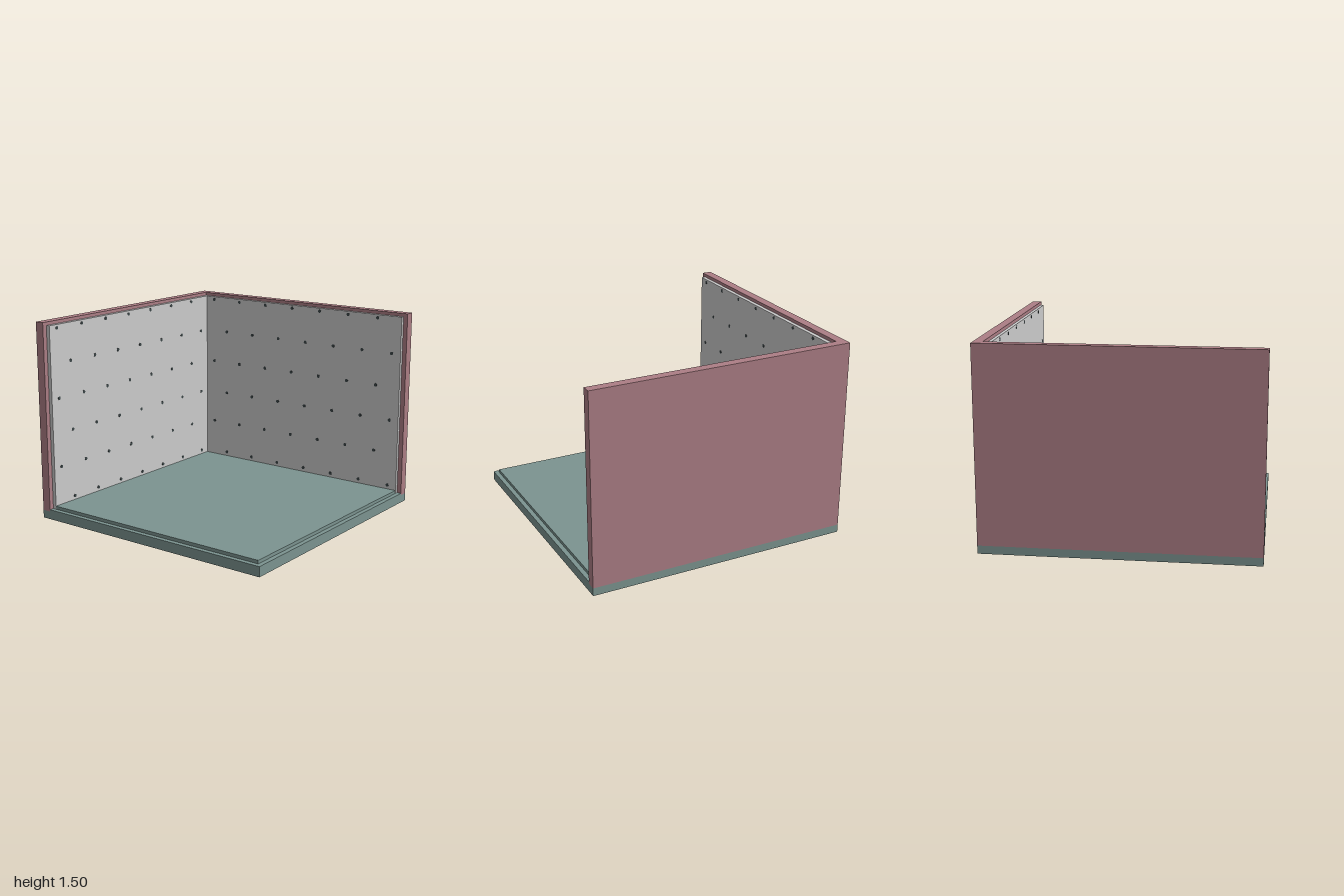
import * as THREE from 'three';

const mat = (color) => new THREE.MeshStandardMaterial({ color });

export function createModel() {
  const model = new THREE.Group();
  model.name = 'cornerRoom';
  const floorMat = mat(0x7c9490);
  const wallMat = mat(0xac7e85);
  const panelMat = mat(0xcccccc);
  const studMat = mat(0x3c4648);

  // Box given by its opposite corners
  const block = (name, material, [x0, y0, z0], [x1, y1, z1]) => {
    const mesh = new THREE.Mesh(new THREE.BoxGeometry(x1 - x0, y1 - y0, z1 - z0), material);
    mesh.position.set((x0 + x1) / 2, (y0 + y1) / 2, (z0 + z1) / 2);
    mesh.name = name;
    model.add(mesh);
  };

  // Stepped floor
  block('floorSlab', floorMat, [-1, 0, -1], [1, 0.06, 1]);
  block('floorStep', floorMat, [-0.93, 0.06, -0.93], [1, 0.075, 1]);
  block('floorPanel', floorMat, [-0.9, 0.075, -0.9], [0.965, 0.1, 0.965]);

  // Two outer walls meeting in the back corner
  block('backWall', wallMat, [-1, 0.06, -1], [1, 1.5, -0.93]);
  block('sideWall', wallMat, [-1, 0.06, -0.93], [-0.93, 1.5, 1]);

  // Inner lining panels, set back from the wall edges
  block('backPanel', panelMat, [-0.9, 0.075, -0.93], [0.965, 1.475, -0.905]);
  block('sidePanel', panelMat, [-0.93, 0.075, -0.93], [-0.9, 1.475, 0.965]);

  // Staggered rows of small round studs on both panels
  const studGeo = new THREE.CylinderGeometry(0.013, 0.013, 0.01, 16);
  const step = 0.263;
  const studs = (name, evenStart, oddStart, place) => {
    const group = new THREE.Group();
    group.name = name;
    for (let row = 0; row < 6; row++) {
      for (let i = 0; i < 7; i++) {
        const stud = new THREE.Mesh(studGeo, studMat);
        stud.name = 'stud';
        place(stud, (row % 2 ? oddStart : evenStart) + i * step, 0.13 + row * 0.264);
        group.add(stud);
      }
    }
    model.add(group);
  };
  studs('backStuds', -0.69, -0.822, (s, u, y) => {
    s.rotation.x = Math.PI / 2;
    s.position.set(u, y, -0.908);
  });
  studs('sideStuds', -0.82, -0.688, (s, u, y) => {
    s.rotation.z = Math.PI / 2;
    s.position.set(-0.903, y, u);
  });

  return model;
}
